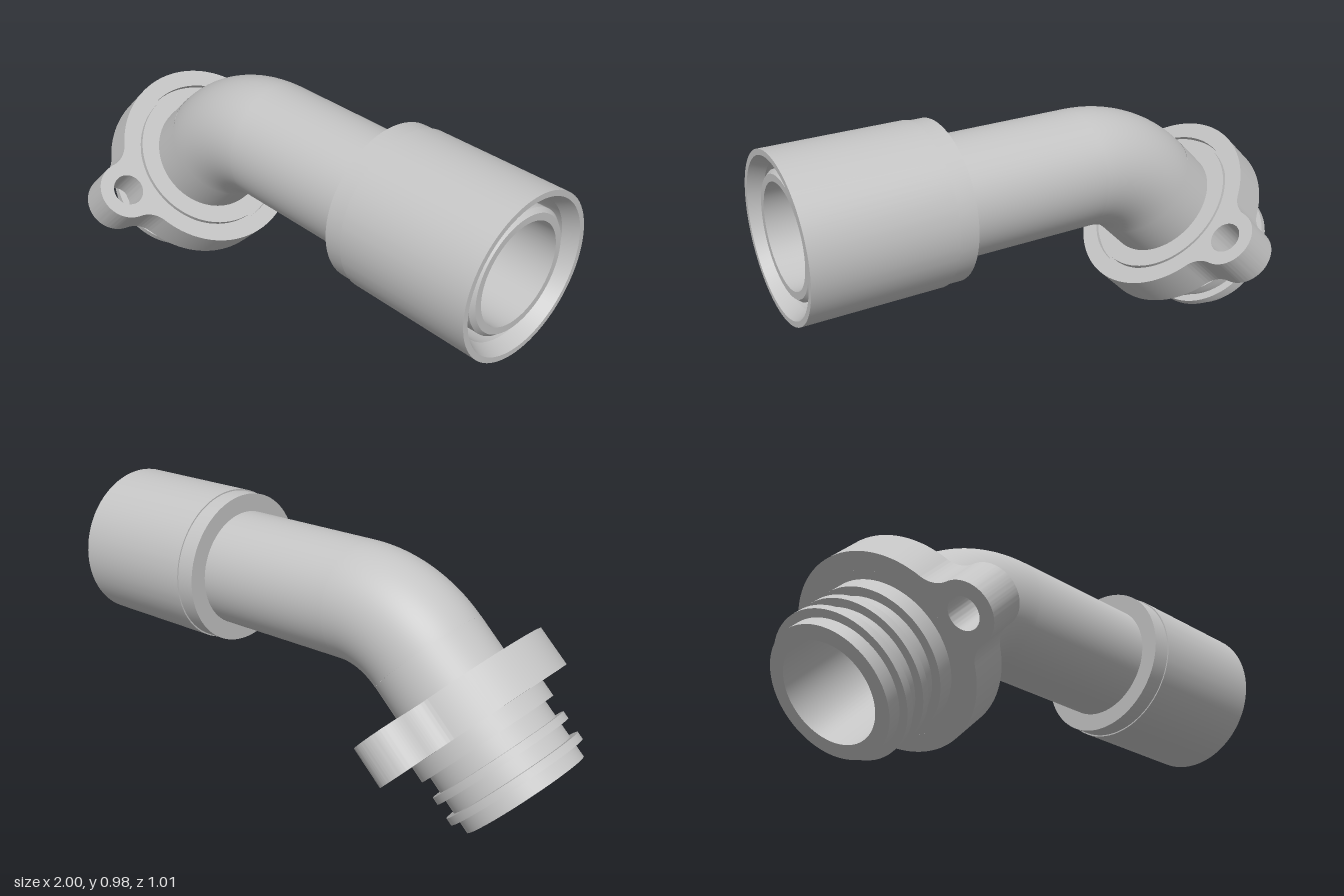
import * as THREE from 'three';
import { toCreasedNormals } from 'three/addons/utils/BufferGeometryUtils.js';

const PIPE = 0.218, BORE = 0.18, BEND = 0.42;

export function createModel() {
  const model = new THREE.Group();
  model.name = 'elbowPipeFitting';
  const metal = new THREE.MeshStandardMaterial({ color: 0xc4c4c4, side: THREE.DoubleSide });
  metal.name = 'grey metal';

  const add = (parent, name, geometry) => {
    const mesh = new THREE.Mesh(geometry, metal);
    mesh.name = name;
    parent.add(mesh);
    return mesh;
  };
  // Turned part with sharp edges between profile segments
  const turned = (profile) => toCreasedNormals(
    new THREE.LatheGeometry(profile.map(([r, y]) => new THREE.Vector2(r, y)), 80), 0.3);

  // Straight pipe with its end sleeve, turned along x
  const straight = new THREE.Group();
  straight.name = 'straightArm';
  straight.position.set(0, 0.695, 0);
  straight.rotation.z = -Math.PI / 2;
  model.add(straight);
  add(straight, 'pipe', turned([[PIPE, -0.13], [PIPE, 0.43]]));
  add(straight, 'sleeve', turned([
    [PIPE, 0.425], [0.285, 0.425], [0.285, 0.495], [0.29, 0.495], [0.29, 1],
    [0.27, 1], [0.245, 0.95], [0.245, 0.82], [PIPE, 0.82],
  ]));
  add(straight, 'innerTube', turned([
    [PIPE, 0.82], [PIPE, 0.96], [0.205, 0.975], [BORE, 0.975], [BORE, -0.13],
  ]));

  // 45 degree bend, outer wall and bore
  for (const [name, r] of [['bendOuter', PIPE], ['bendBore', BORE]]) {
    const bend = add(model, name, new THREE.TorusGeometry(BEND, r, 80, 32, Math.PI / 4));
    bend.position.set(-0.13, 0.695 - BEND, 0);
    bend.rotation.z = Math.PI / 2;
  }

  // Slanted leg; local y runs from the open end up to the bend
  const leg = new THREE.Group();
  leg.name = 'slantedLeg';
  leg.position.set(-0.835, 0.165, 0);
  leg.rotation.z = -Math.PI / 4;
  model.add(leg);
  const flangeLow = 0.283, flangeTop = 0.431, legTop = 0.576;
  const spigot = [[BORE, legTop], [BORE, 0], [0.233, 0]];
  for (const y of [0.05, 0.132]) { // retaining ribs
    spigot.push([0.233, y], [0.263, y], [0.263, y + 0.028], [0.233, y + 0.028]);
  }
  spigot.push([0.233, 0.222], [0.265, 0.222], [0.265, flangeLow]);
  add(leg, 'spigot', turned(spigot));
  // Flange centre with a fine ring groove, and the neck above it
  add(leg, 'flangeHub', turned([
    [0.265, flangeLow], [0.295, flangeLow], [0.295, 0.411], [0.286, 0.411],
    [0.286, flangeTop], [PIPE, flangeTop], [PIPE, legTop],
  ]));

  // Flange outline: disc and two ears joined by concave fillets
  const R = 0.36, ear = 0.11, earAt = 0.395, f = 0.1;
  const fy = ((R + f) ** 2 - (ear + f) ** 2 + earAt ** 2) / (2 * earAt);
  const fx = Math.sqrt((R + f) ** 2 - fy ** 2);
  const discA = Math.atan2(fy, fx);          // disc to fillet
  const earA = Math.atan2(fy - earAt, fx);   // ear to fillet
  const PI = Math.PI;
  const outline = new THREE.Shape();
  outline.absarc(0, 0, R, -discA, discA, false);
  outline.absarc(fx, fy, f, discA + PI, earA + PI, true);
  outline.absarc(0, earAt, ear, earA, PI - earA, false);
  outline.absarc(-fx, fy, f, -earA, -discA, true);
  outline.absarc(0, 0, R, PI - discA, PI + discA, false);
  outline.absarc(-fx, -fy, f, discA, earA, true);
  outline.absarc(0, -earAt, ear, PI + earA, 2 * PI - earA, false);
  outline.absarc(fx, -fy, f, PI - earA, PI - discA, true);
  for (const [y, r] of [[0, 0.295], [earAt, 0.058], [-earAt, 0.058]]) {
    const hole = new THREE.Path();
    hole.absarc(0, y, r, 0, 2 * PI, true);
    outline.holes.push(hole);
  }
  const flange = toCreasedNormals(new THREE.ExtrudeGeometry(outline, {
    depth: flangeTop - flangeLow, bevelEnabled: false, curveSegments: 32,
  }), 0.5);
  flange.rotateX(-PI / 2);
  flange.translate(0, flangeLow, 0);
  add(leg, 'boltFlange', flange);

  return model;
}
